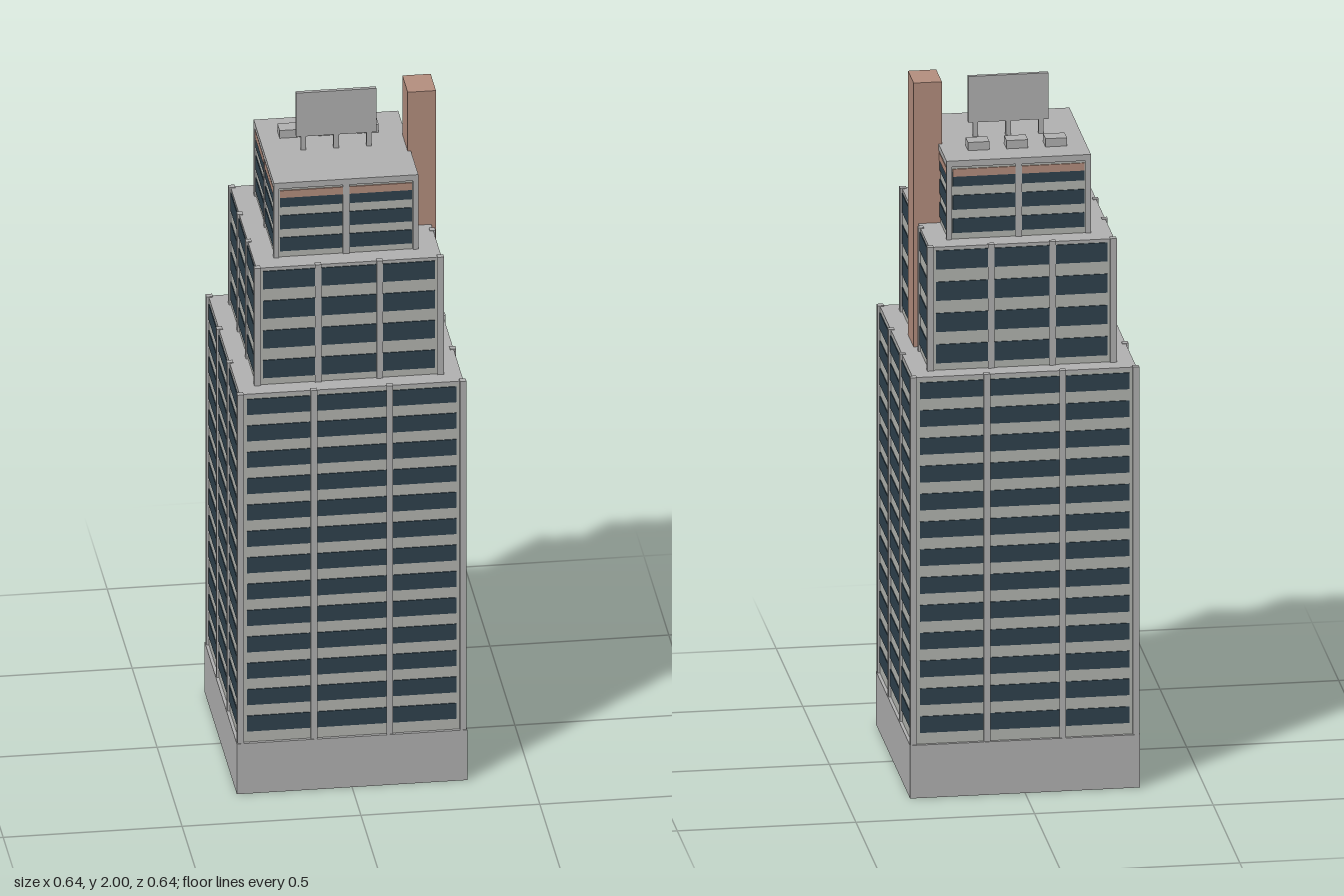
import * as THREE from 'three';

export function createModel() {
  const model = new THREE.Group();
  model.name = 'steppedTower';

  const mat = (name, color) => {
    const m = new THREE.MeshStandardMaterial({ color });
    m.name = name;
    return m;
  };
  const concrete = mat('concrete grey', 0xb3b3b3);
  const wall = mat('wall grey', 0xb5b7b2);
  const glass = mat('window blue', 0x30434f);
  const brick = mat('brick brown', 0xb69080);

  // Box given by its min and max on each axis
  const box = (parent, name, material, [x0, x1], [y0, y1], [z0, z1]) => {
    const mesh = new THREE.Mesh(new THREE.BoxGeometry(x1 - x0, y1 - y0, z1 - z0), material);
    mesh.position.set((x0 + x1) / 2, (y0 + y1) / 2, (z0 + z1) / 2);
    mesh.name = name;
    parent.add(mesh);
    return mesh;
  };

  // One storey block: core, roof, corner posts, and four equal facades
  const tier = (name, t) => {
    const group = new THREE.Group();
    group.name = name;
    const c = t.core;
    box(group, 'core', wall, [-c, c], [t.y0, t.y1 - 0.008], [-c, c]);
    box(group, 'roof', concrete, [-c, c], [t.y1 - 0.008, t.y1], [-c, c]);

    for (const sx of [-1, 1]) {
      for (const sz of [-1, 1]) {
        const mid = t.outer - t.post / 2;
        const post = box(group, 'cornerPost', concrete,
          [-t.post / 2, t.post / 2], [t.y0, t.y1 + 0.002], [-t.post / 2, t.post / 2]);
        post.position.x = sx * mid;
        post.position.z = sz * mid;
      }
    }

    for (let side = 0; side < 4; side++) {
      const facade = new THREE.Group();
      facade.name = 'facade';
      facade.rotation.y = side * Math.PI / 2;
      // Mullions between window bays
      for (const x of t.mullions) {
        box(facade, 'mullion', concrete, [x - 0.009, x + 0.009], [t.y0, t.y1 + 0.002], [c - 0.01, t.outer]);
      }
      // Window strips, split into bays
      const edges = [-t.glassHalf, ...t.mullions, t.glassHalf];
      for (let row = 0; row < t.rows; row++) {
        const y = t.firstRow + row * t.pitch;
        for (let i = 0; i < edges.length - 1; i++) {
          box(facade, 'window', glass, [edges[i], edges[i + 1]],
            [y - t.glassHeight / 2, y + t.glassHeight / 2], [c - 0.002, c + 0.0025]);
        }
      }
      // Brick frieze under the roof
      if (t.frieze) {
        box(facade, 'frieze', brick, [-t.glassHalf, t.glassHalf], t.frieze, [c - 0.002, c + 0.0035]);
      }
      group.add(facade);
    }
    model.add(group);
  };

  // Plinth
  box(model, 'plinth', concrete, [-0.322, 0.322], [0, 0.155], [-0.322, 0.322]);

  // Three setbacks
  tier('lowerTier', {
    y0: 0.155, y1: 1.228, core: 0.313, outer: 0.32, post: 0.018, mullions: [-0.106, 0.106],
    glassHalf: 0.293, rows: 13, firstRow: 0.212, pitch: 0.0814, glassHeight: 0.048,
  });
  tier('middleTier', {
    y0: 1.228, y1: 1.588, core: 0.259, outer: 0.265, post: 0.018, mullions: [-0.086, 0.086],
    glassHalf: 0.24, rows: 4, firstRow: 1.276, pitch: 0.0915, glassHeight: 0.055,
  });
  tier('upperTier', {
    y0: 1.588, y1: 1.805, core: 0.197, outer: 0.202, post: 0.015, mullions: [0],
    glassHalf: 0.184, rows: 3, firstRow: 1.627, pitch: 0.068, glassHeight: 0.042,
    frieze: [1.771, 1.793],
  });

  // Roof slab of the top block
  box(model, 'roofSlab', concrete, [-0.202, 0.202], [1.8, 1.818], [-0.202, 0.202]);

  // Brick chimney running up the left side
  box(model, 'chimney', brick, [0.193, 0.272], [0.1, 2], [-0.053, 0.053]);

  // Rooftop units
  for (const x of [-0.117, -0.008, 0.1]) {
    box(model, 'roofUnit', concrete, [x - 0.03, x + 0.03], [1.818, 1.842], [-0.121, -0.076]);
  }

  // Blank billboard on three posts
  box(model, 'billboard', concrete, [-0.112, 0.112], [1.86, 1.995], [-0.006, 0.006]);
  for (const x of [-0.092, 0, 0.092]) {
    box(model, 'billboardPost', concrete, [x - 0.007, x + 0.007], [1.818, 1.862], [-0.005, 0.005]);
  }

  return model;
}
